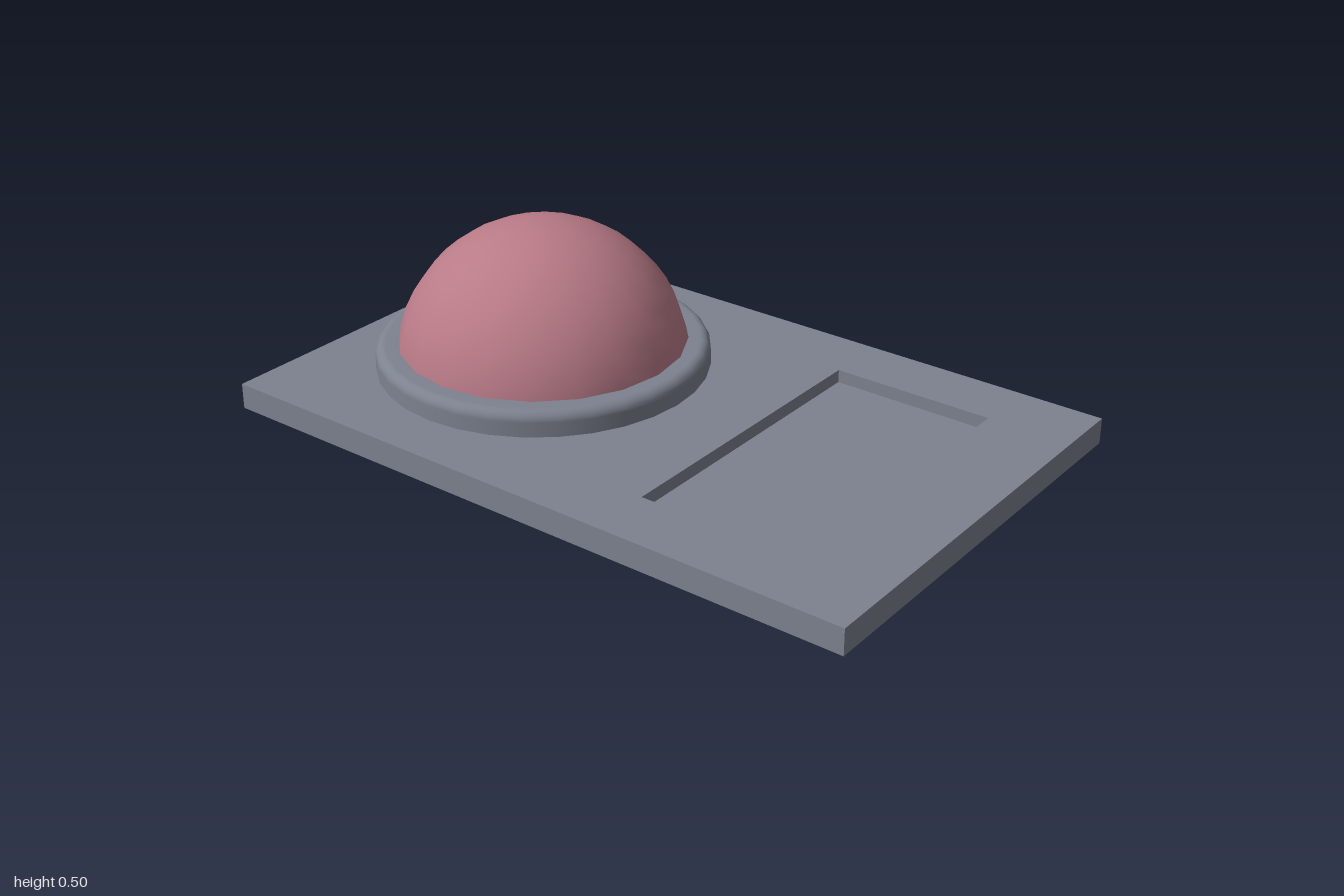
import * as THREE from 'three';
import { mergeGeometries } from 'three/addons/utils/BufferGeometryUtils.js';

const grey = new THREE.MeshStandardMaterial({ color: 0x7d828f, side: THREE.DoubleSide });
const pink = new THREE.MeshStandardMaterial({ color: 0xb87a87, side: THREE.DoubleSide });

function part(name, geometry, material, x = 0, y = 0, z = 0) {
  const mesh = new THREE.Mesh(geometry, material);
  mesh.name = name;
  mesh.position.set(x, y, z);
  return mesh;
}

// Four thin upright walls around a rectangle, facing outward (1) or inward (-1)
function walls(w, d, h, facing) {
  const sides = [];
  for (let i = 0; i < 4; i++) {
    const [length, offset] = i % 2 ? [d, w / 2] : [w, d / 2];
    const g = new THREE.PlaneGeometry(length, h);
    if (facing < 0) g.rotateY(Math.PI);
    sides.push(g.translate(0, h / 2, offset).rotateY(i * Math.PI / 2));
  }
  return mergeGeometries(sides);
}

function rectangle(path, x, z, w, d) {
  path.moveTo(x - w / 2, z - d / 2);
  path.lineTo(x + w / 2, z - d / 2);
  path.lineTo(x + w / 2, z + d / 2);
  path.lineTo(x - w / 2, z + d / 2);
  path.closePath();
  return path;
}

export function createModel() {
  const model = new THREE.Group();
  const width = 2, depth = 1.275, top = 0.075;
  const recess = { x: 0.515, w: 0.48, d: 0.905, floor: 0.037 };
  const domeX = -0.435;

  // Hollow base plate, open underneath
  const plate = new THREE.Group();
  plate.name = 'basePlate';
  const outline = rectangle(new THREE.Shape(), 0, 0, width, depth);
  outline.holes.push(rectangle(new THREE.Path(), recess.x, 0, recess.w, recess.d));
  plate.add(
    part('plateTop', new THREE.ShapeGeometry(outline).rotateX(-Math.PI / 2), grey, 0, top, 0),
    part('plateSides', walls(width, depth, top, 1), grey)
  );

  // Shallow rectangular recess
  const pocket = new THREE.Group();
  pocket.name = 'recess';
  pocket.position.set(recess.x, recess.floor, 0);
  pocket.add(
    part('recessWalls', walls(recess.w, recess.d, top - recess.floor, -1), grey),
    part('recessFloor', new THREE.PlaneGeometry(recess.w, recess.d).rotateX(-Math.PI / 2), grey)
  );

  // Collar with a rounded upper edge, reaching down into the plate
  const profile = [new THREE.Vector2(0.478, 0.037)];
  for (let i = 0; i <= 5; i++) {
    const a = i / 5 * Math.PI / 2;
    profile.push(new THREE.Vector2(0.448 + 0.03 * Math.cos(a), 0.118 + 0.03 * Math.sin(a)));
  }
  profile.push(new THREE.Vector2(0.4, 0.148));
  const collar = part('collar', new THREE.LatheGeometry(profile, 32), grey, domeX);

  // Hemispherical dome
  const dome = part('dome',
    new THREE.SphereGeometry(0.42, 20, 12, 0, Math.PI * 2, 0, Math.PI / 2), pink, domeX, top + 0.001, 0);

  model.add(plate, pocket, collar, dome);
  return model;
}
